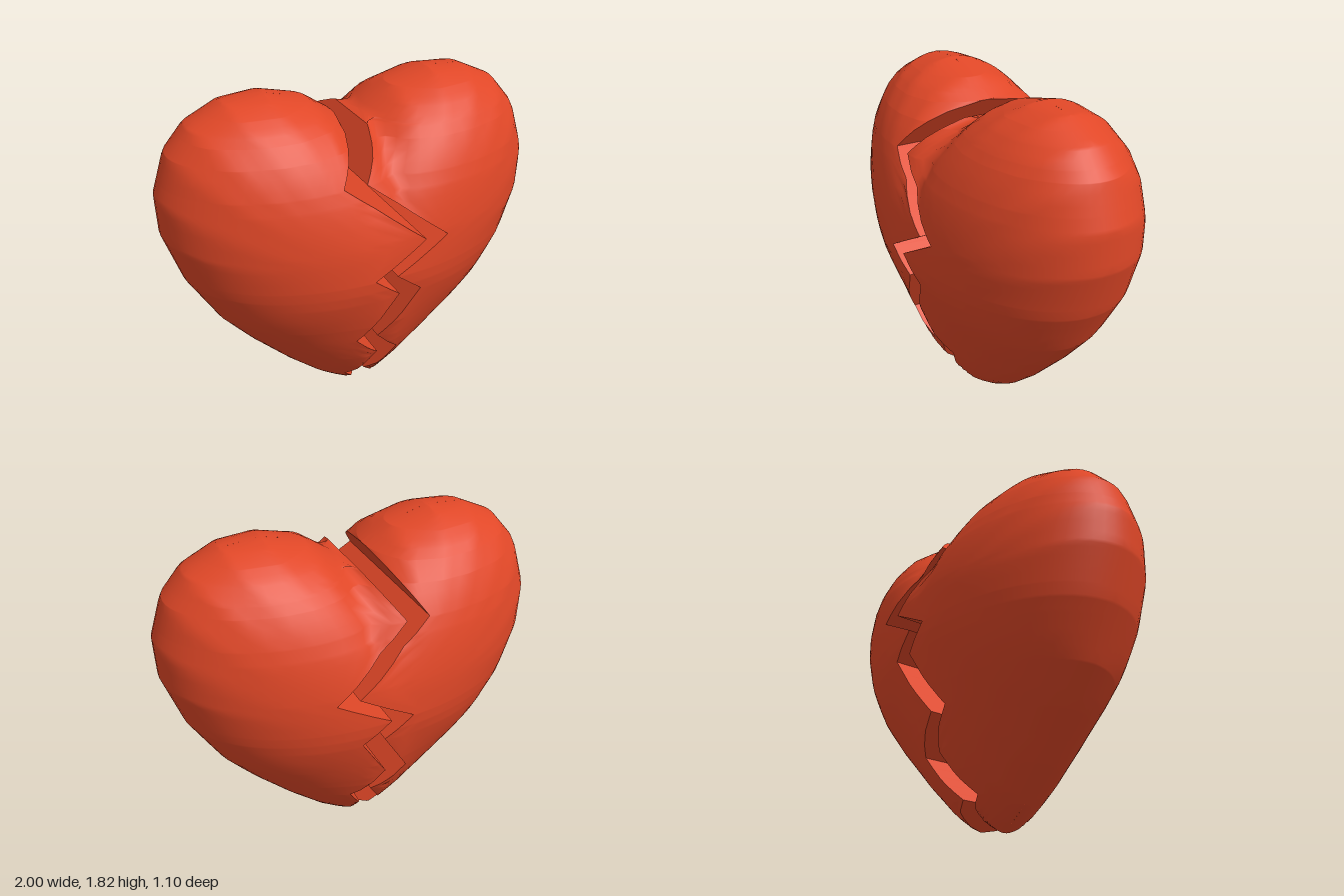
import * as THREE from 'three';
import { mergeVertices } from 'three/addons/utils/BufferGeometryUtils.js';

const GAP = 0.06, DEPTH = 0.55, MID = 0.98, COLS = 24;

// Half outline of the heart, from bottom tip to top notch (mirrored in x)
const OUTLINE = [[0, 0], [0.07, 0.04], [0.16, 0.1], [0.34, 0.26], [0.55, 0.48], [0.7, 0.66], [0.85, 0.92],
  [0.935, 1.18], [0.94, 1.38], [0.87, 1.59], [0.76, 1.715], [0.58, 1.8], [0.38, 1.815], [0.16, 1.76], [0, 1.65]];
const OUTER = OUTLINE.slice(0, 13);

// Zigzag break, from bottom to top
const CRACK = [[0.07, 0.04], [-0.05, 0.15], [0.075, 0.37], [-0.09, 0.55], [0.095, 0.86],
  [-0.05, 0.98], [0.235, 1.14], [-0.17, 1.46]];

// x of a rising polyline at height y
function xAt(line, y) {
  for (let i = 1; i < line.length; i++) {
    const [x0, y0] = line[i - 1], [x1, y1] = line[i];
    if (y <= y1 + 1e-9) return x0 + (x1 - x0) * THREE.MathUtils.clamp((y - y0) / (y1 - y0), 0, 1);
  }
  return line[line.length - 1][0];
}

// Half thickness: a dome falling from the middle to the outline, sharper towards the tip
function thickness(x, y) {
  const px = Math.abs(x), py = y - MID, len = Math.hypot(px, py);
  if (len < 1e-6) return DEPTH;
  let r = 1;
  for (let i = 1; i < OUTLINE.length; i++) {
    const ax = OUTLINE[i - 1][0], ay = OUTLINE[i - 1][1] - MID;
    const ex = OUTLINE[i][0] - ax, ey = OUTLINE[i][1] - MID - ay;
    const det = ex * py - ey * px;
    if (Math.abs(det) < 1e-9) continue;
    const t = (ay * px - ax * py) / det;
    if (t < -1e-6 || t > 1 + 1e-6) continue;
    const reach = Math.hypot(ax + ex * t, ay + ey * t);
    if ((ax + ex * t) * px + (ay + ey * t) * py > 0) { r = len / reach; break; }
  }
  if (r > 0.9995) return 0;
  const w = Math.max(0, -py / len) ** 2;
  return DEPTH * (1 - r ** (2 - 0.5 * w)) ** (0.5 + 0.1 * w);
}

// Welds corners and drops collapsed triangles
function toGeometry(points) {
  let geo = new THREE.BufferGeometry();
  geo.setAttribute('position', new THREE.Float32BufferAttribute(points, 3));
  geo = mergeVertices(geo, 1e-4);
  const index = Array.from(geo.index.array), kept = [];
  for (let i = 0; i < index.length; i += 3) {
    const [a, b, c] = index.slice(i, i + 3);
    if (a !== b && b !== c && a !== c) kept.push(a, b, c);
  }
  geo.setIndex(kept);
  return geo;
}

function quad(out, a, b, c, d, flip) {
  const corners = flip ? [a, c, b, a, d, c] : [a, b, c, a, c, d];
  for (const p of corners) out.push(...p);
}

// One half: s = +1 on the +x side, -1 on the -x side
function makeHalf(s, inner, material) {
  const outer = OUTER.map(([x, y]) => [s * x, y]);
  const bottom = inner[0][1], top = 1.815;
  const heights = [...inner, ...OUTER].map(p => p[1]);
  for (let i = 0; i <= 44; i++) heights.push(top * (1 - Math.cos(Math.PI * i / 44)) / 2);
  const ys = heights.filter(y => y >= bottom && y <= top).sort((a, b) => a - b)
    .filter((y, i, all) => i === 0 || y - all[i - 1] > 1e-6);

  const rows = ys.map(y => {
    const x0 = xAt(inner, y), x1 = xAt(outer, y), row = [];
    for (let i = 0; i <= COLS; i++) {
      const x = x0 + (x1 - x0) * (1 - Math.cos(Math.PI * i / COLS)) / 2;
      row.push([x, y, thickness(x, y)]);
    }
    return row;
  });

  const back = ([x, y, z]) => [x, y, -z];
  const shell = [], wall = [];
  for (let j = 0; j + 1 < rows.length; j++) {
    const lo = rows[j], hi = rows[j + 1];
    for (let i = 0; i < COLS; i++) {
      const q = [lo[i], lo[i + 1], hi[i + 1], hi[i]];
      quad(shell, ...q, s < 0);
      quad(shell, ...q.map(back), s > 0);
    }
    quad(wall, back(lo[0]), lo[0], hi[0], back(hi[0]), s < 0);
  }

  // Smooth outside
  const shellGeo = toGeometry(shell);
  shellGeo.computeVertexNormals();
  const shellMesh = new THREE.Mesh(shellGeo, material);
  shellMesh.name = 'outerSurface';

  // Flat faces along the break
  const wallGeo = toGeometry(wall).toNonIndexed();
  wallGeo.computeVertexNormals();
  const wallMesh = new THREE.Mesh(wallGeo, material);
  wallMesh.name = 'brokenFace';

  const half = new THREE.Group();
  half.name = s > 0 ? 'leftHalf' : 'rightHalf';
  half.add(shellMesh, wallMesh);
  half.position.x = s * GAP;
  return half;
}

export function createModel() {
  const red = new THREE.MeshStandardMaterial({ color: 0xe04727 });
  red.name = 'heartRed';

  const model = new THREE.Group();
  model.name = 'brokenHeart';
  // Each inner edge follows the break, then the lobe up to its crest
  model.add(
    makeHalf(1, [...CRACK, [-0.04, 1.64], [0, 1.65], [0.16, 1.76], [0.38, 1.815]], red),
    makeHalf(-1, [[0, 0], ...CRACK, [-0.03, 1.67], [-0.16, 1.76], [-0.38, 1.815]], red)
  );
  return model;
}
